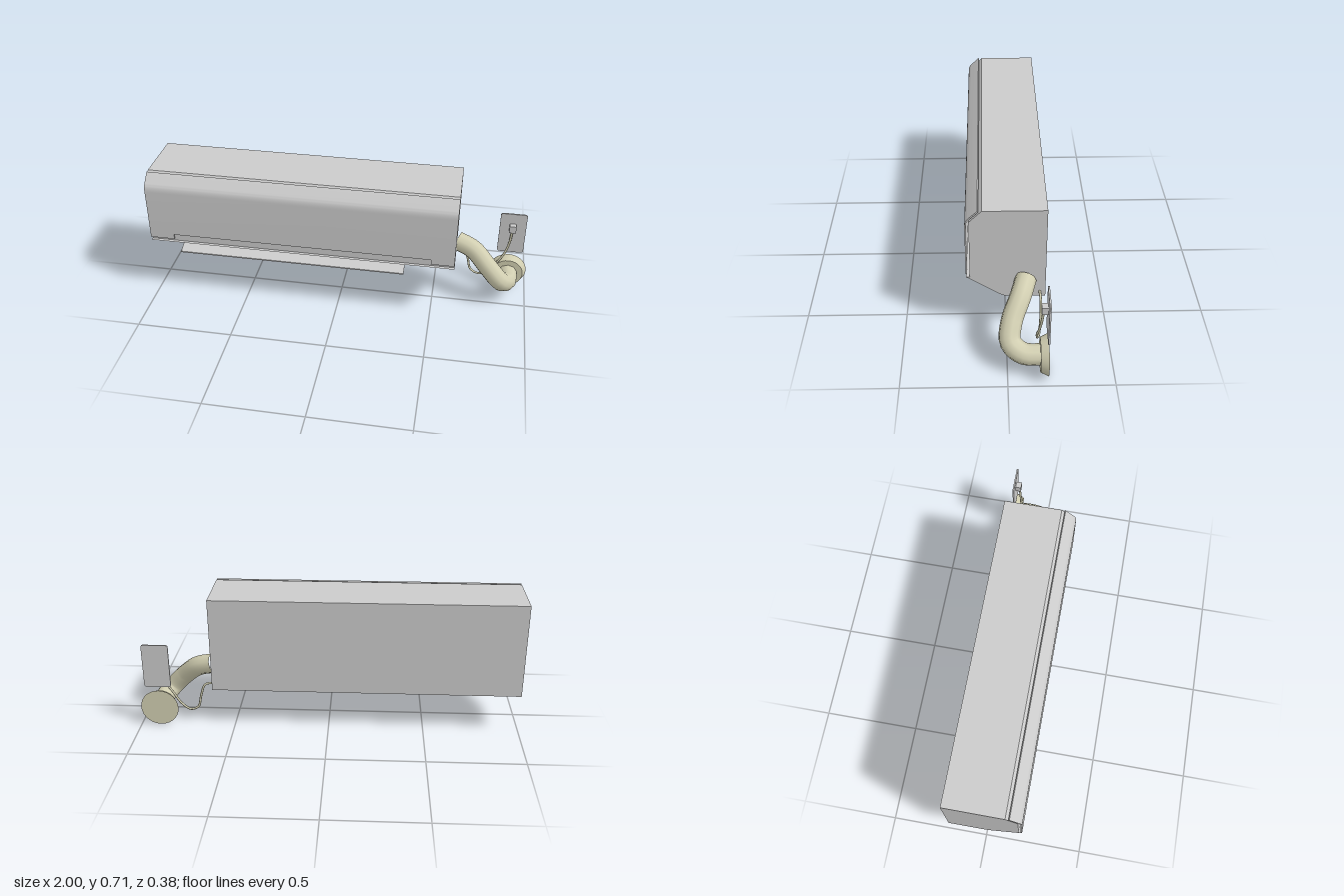
import * as THREE from 'three';
import { toCreasedNormals } from 'three/addons/utils/BufferGeometryUtils.js';

const mat = (color) => new THREE.MeshStandardMaterial({ color });
const grey = mat(0xcccccc);
const black = mat(0x1c1c1c);
const beige = mat(0xd2cfb2);

export function createModel() {
  const model = new THREE.Group();

  const add = (name, geometry, material, x = 0, y = 0, z = 0) => {
    const mesh = new THREE.Mesh(geometry, material);
    mesh.name = name;
    mesh.position.set(x, y, z);
    model.add(mesh);
    return mesh;
  };

  // Side profile given as [z, y] points, extruded along x from x0 to x1
  const extrudeX = (name, points, x0, x1, material) => {
    const shape = new THREE.Shape(points.map(([z, y]) => new THREE.Vector2(-z, y)));
    const geo = new THREE.ExtrudeGeometry(shape, { depth: x1 - x0, bevelEnabled: false });
    geo.rotateY(Math.PI / 2);
    return add(name, toCreasedNormals(geo, 0.5), material, x0);
  };

  // Points of a quadratic bend
  const bend = (a, c, b, n = 6) =>
    new THREE.QuadraticBezierCurve(new THREE.Vector2(...a), new THREE.Vector2(...c), new THREE.Vector2(...b))
      .getPoints(n).map((p) => [p.x, p.y]);

  const tube = (name, points, radius, segments, sides, material) => {
    const curve = new THREE.CatmullRomCurve3(points.map((p) => new THREE.Vector3(...p)));
    return add(name, new THREE.TubeGeometry(curve, segments, radius, sides), material);
  };

  // Housing: solid ends and a middle with the air outlet cut into its sloping underside
  const upper = [[-0.19, 0.215], [-0.19, 0.718], [0.112, 0.718], [0.173, 0.657], [0.173, 0.335], [0.19, 0.335]];
  const lower = bend([0.03, 0.228], [0.01, 0.215], [-0.02, 0.215]);
  const slot = [[0.168, 0.32], [0.135, 0.37], [0.007, 0.285], [0.04, 0.2347]];
  const x0 = -0.9, x1 = 0.37;
  extrudeX('housingRightEnd', [...upper, ...lower], -1, x0, grey);
  extrudeX('housingMiddle', [...upper, ...slot, ...lower], x0, x1, grey);
  extrudeX('housingLeftEnd', [...upper, ...lower], x1, 0.61, grey);

  // Dark lining of the air outlet
  const inner = [[0.0455, 0.2384], [0.0125, 0.2849], [0.1335, 0.3655], [0.163, 0.3167]];
  extrudeX('outletLining', [...slot, ...inner], x0, x1, black);
  extrudeX('outletRightWall', slot, x0, x0 + 0.004, black);
  extrudeX('outletLeftWall', slot, x1 - 0.004, x1, black);

  // Swing vane
  extrudeX('vane', [[0.15, 0.242], [0.148, 0.247], [0.022, 0.292], [0.02, 0.288]], -0.86, 0.35, grey);

  // Front panel with a shallow notch along its lower edge
  const panelProfile = [
    [0.185, 0.382], [0.192, 0.382],
    ...bend([0.192, 0.63], [0.192, 0.66], [0.178, 0.674]),
    [0.132, 0.718], [0.127, 0.713],
    ...bend([0.173, 0.669], [0.185, 0.657], [0.185, 0.63]),
  ];
  extrudeX('frontPanel', panelProfile, -1, 0.61, grey);
  for (const [a, b] of [[-1, -0.87], [0.49, 0.61]]) {
    add('frontPanelTab', new THREE.BoxGeometry(b - a, 0.027, 0.007), grey, (a + b) / 2, 0.3685, 0.1885);
  }

  // Pipe from the housing to the wall
  tube('pipe', [
    [0.61, 0.325, -0.095], [0.7, 0.295, -0.067], [0.79, 0.215, -0.022],
    [0.855, 0.145, -0.015], [0.893, 0.11, -0.07], [0.897, 0.103, -0.16],
  ], 0.052, 24, 10, beige);
  const flange = add('wallFlange', toCreasedNormals(new THREE.CylinderGeometry(0.082, 0.1, 0.038, 28), 0.5),
    beige, 0.897, 0.103, -0.171);
  flange.rotation.x = Math.PI / 2;

  // Wall socket plate with rounded corners
  const w = 0.07, h = 0.12, r = 0.012;
  const plate = new THREE.Shape();
  plate.absarc(w - r, h - r, r, 0, Math.PI / 2);
  plate.absarc(-w + r, h - r, r, Math.PI / 2, Math.PI);
  plate.absarc(-w + r, -h + r, r, Math.PI, Math.PI * 1.5);
  plate.absarc(w - r, -h + r, r, Math.PI * 1.5, Math.PI * 2);
  const plateGeo = new THREE.ExtrudeGeometry(plate, { depth: 0.008, bevelEnabled: false, curveSegments: 5 });
  add('socketPlate', toCreasedNormals(plateGeo, 0.6), grey, 0.898, 0.345, -0.19);

  // Plug and power cord
  add('plug', new THREE.BoxGeometry(0.036, 0.04, 0.03), grey, 0.897, 0.385, -0.167);
  tube('powerCord', [
    [0.6, 0.243, -0.162], [0.65, 0.234, -0.165], [0.675, 0.17, -0.166], [0.695, 0.1, -0.163],
    [0.74, 0.08, -0.155], [0.79, 0.11, -0.144], [0.83, 0.17, -0.14], [0.868, 0.235, -0.147],
    [0.888, 0.3, -0.155], [0.896, 0.37, -0.162],
  ], 0.006, 60, 8, beige);

  return model;
}
